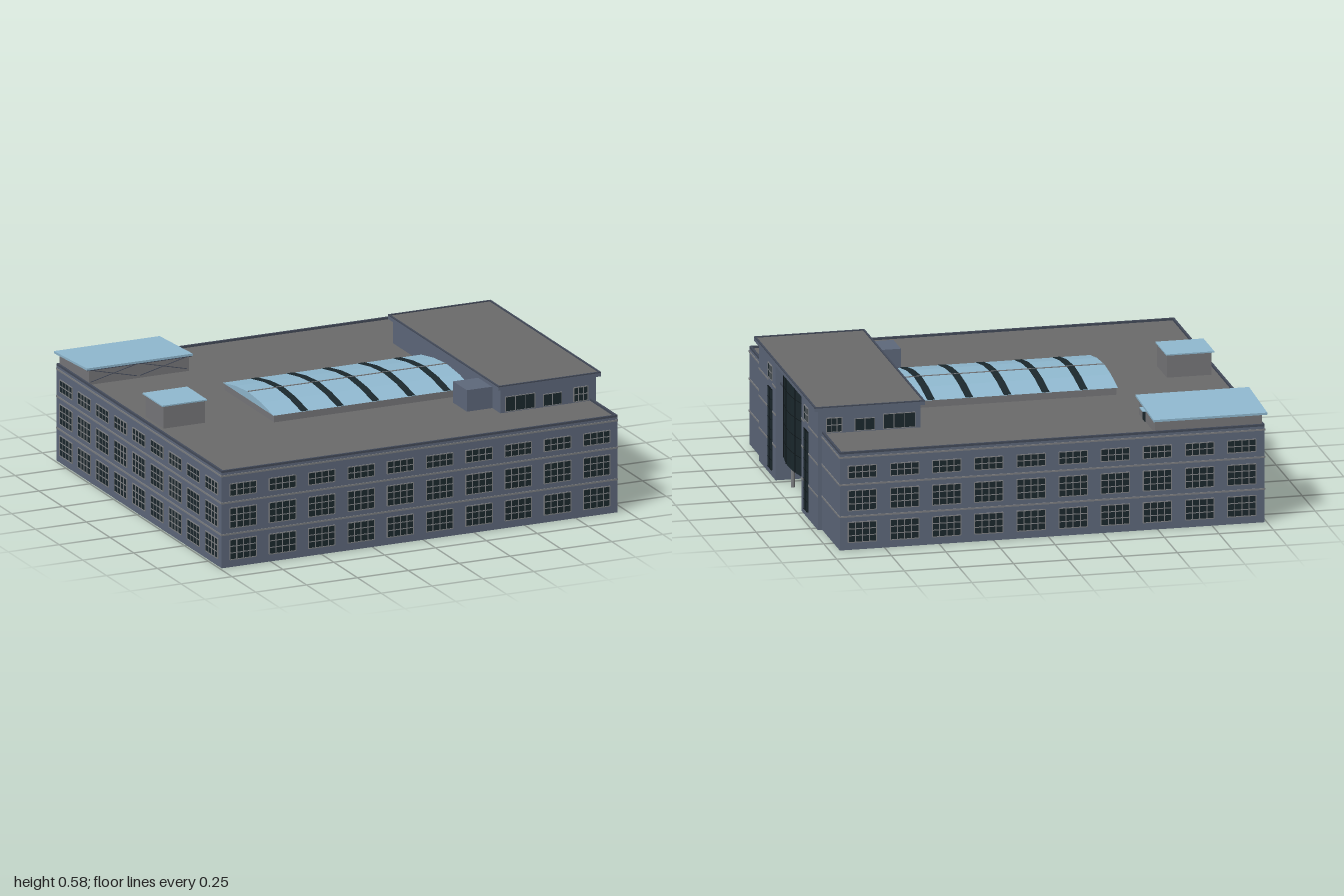
import * as THREE from 'three';
import { mergeGeometries } from 'three/addons/utils/BufferGeometryUtils.js';

const mat = (color) => new THREE.MeshStandardMaterial({ color, flatShading: true, side: THREE.DoubleSide });
const M = {
  wall: mat(0x5e687b), roof: mat(0x6b6b6b), dark: mat(0x1b282d), trim: mat(0x7d7f82),
  edge: mat(0x444b5a), sky: mat(0x90b9d0), shed: mat(0x77777a), line: mat(0x0e1518),
};

// Box from min and max corners
function box(x0, x1, y0, y1, z0, z1) {
  return new THREE.BoxGeometry(x1 - x0, y1 - y0, z1 - z0)
    .translate((x0 + x1) / 2, (y0 + y1) / 2, (z0 + z1) / 2);
}

// Plan outline given as [x, z], raised from y0 to y1
function plan(points, y0, y1, hole) {
  const v = (p) => p.map(([x, z]) => new THREE.Vector2(x, -z));
  const shape = new THREE.Shape(v(points));
  if (hole) shape.holes.push(new THREE.Path(v(hole)));
  return new THREE.ExtrudeGeometry(shape, { depth: y1 - y0, bevelEnabled: false })
    .rotateX(-Math.PI / 2).translate(0, y0, 0);
}
const rect = (x0, x1, z0, z1) => [[x0, z1], [x1, z1], [x1, z0], [x0, z0]];

// Place geometry made facing +z onto a wall: angle about y and distance from the centre
const onWall = (g, angle, dist) => g.translate(0, 0, dist).rotateY(angle);
const FRONT = 0, LEFT = Math.PI / 2, BACK = Math.PI, RIGHT = -Math.PI / 2;

export function createModel() {
  const group = new THREE.Group();
  const add = (name, geo, material) => {
    const mesh = new THREE.Mesh(Array.isArray(geo) ? mergeGeometries(geo) : geo, material);
    mesh.name = name;
    group.add(mesh);
  };

  // Bowed glass front, sampled in plan
  const arc = [];
  for (let i = 0; i <= 12; i++) {
    const t = i / 12;
    arc.push([0.935 + 0.038 * Math.sin(Math.PI * t), 0.28 - 0.495 * t]);
  }

  // Main body: ground floor with open entrance recess, upper floors, raised entrance block
  const outline = (mid) => [[-0.99, 0.87], [0.955, 0.87], [0.955, 0.6], [0.975, 0.6], [0.975, 0.28],
    ...mid, [0.975, -0.215], [0.975, -0.53], [0.955, -0.53], [0.955, -0.87], [-0.99, -0.87]];
  const capSide = [M.roof, M.wall];
  add('groundFloor', plan(outline([[0.51, 0.28], [0.51, -0.215]]), 0, 0.135), capSide);
  add('upperFloors', plan(outline(arc), 0.135, 0.445), capSide);
  add('entranceBlock', plan([[0.505, 0.6], [0.975, 0.6], [0.975, 0.28], ...arc,
    [0.975, -0.215], [0.975, -0.53], [0.505, -0.53]], 0.445, 0.555), capSide);

  // Parapet and block roof
  add('parapet', plan(rect(-0.99, 0.955, -0.87, 0.87), 0.445, 0.455,
    rect(-0.98, 0.945, -0.86, 0.86)), M.edge);
  add('blockRoof', plan(rect(0.49, 0.995, -0.555, 0.61), 0.555, 0.571), capSide);
  add('blockRoofRim', plan(rect(0.49, 0.995, -0.555, 0.61), 0.571, 0.576,
    rect(0.498, 0.987, -0.547, 0.602)), M.edge);

  // Windows: dark pane with a light grid in front
  const panes = [], bars = [];
  function grid(angle, dist, u, y0, w, h, cols, rows, t = 0.004) {
    panes.push(onWall(box(u - w / 2, u + w / 2, y0, y0 + h, -0.002, 0.002), angle, dist));
    for (let c = 0; c <= cols; c++) {
      const x = u - w / 2 + (w * c) / cols;
      bars.push(onWall(box(x - t / 2, x + t / 2, y0, y0 + h, 0, 0.004), angle, dist));
    }
    for (let r = 0; r <= rows; r++) {
      const y = y0 + (h * r) / rows;
      bars.push(onWall(box(u - w / 2, u + w / 2, y - t / 2, y + t / 2, 0, 0.004), angle, dist));
    }
  }
  const floors = [[0.035, 0.093, 3], [0.182, 0.093, 3], [0.332, 0.057, 2]];
  for (const [y, h, rows] of floors) {
    for (let i = 0; i < 10; i++) {
      const x = -0.885 + i * 0.193;
      grid(FRONT, 0.87, x, y, 0.13, h, 4, rows);
      grid(BACK, 0.87, -x, y, 0.13, h, 4, rows);
    }
    for (let i = 0; i < 9; i++) grid(RIGHT, 0.99, -0.768 + i * 0.192, y, 0.13, h, 4, rows);
  }

  // Block windows on both ends and beside the glass front, plus the entrance glazing
  for (const [angle, dist, s] of [[FRONT, 0.6, 1], [BACK, 0.53, -1]]) {
    grid(angle, dist, s * 0.602, 0.45, 0.145, 0.068, 3, 1, 0.003);
    grid(angle, dist, s * 0.76, 0.45, 0.09, 0.055, 2, 1, 0.003);
    grid(angle, dist, s * 0.9, 0.45, 0.07, 0.066, 3, 2);
  }
  for (const z of [0.38, -0.312]) grid(LEFT, 0.975, -z, 0.445, 0.072, 0.066, 3, 2);
  grid(LEFT, 0.51, -0.035, 0.035, 0.29, 0.09, 10, 3);
  add('windowPanes', panes, M.dark);
  add('windowBars', bars, M.trim);

  // Tall dark stair windows
  const tall = [], tallBars = [];
  for (const z of [0.38, -0.312]) {
    tall.push(box(0.97, 0.979, 0.03, 0.402, z - 0.037, z + 0.037));
    for (let i = 0; i <= 8; i++) {
      const y = 0.03 + i * 0.0465;
      tallBars.push(box(0.975, 0.981, y - 0.001, y + 0.001, z - 0.037, z + 0.037));
    }
    tallBars.push(box(0.975, 0.981, 0.03, 0.402, z - 0.001, z + 0.001));
  }
  add('stairWindows', tall, M.dark);
  add('stairWindowBars', tallBars, M.line);

  // Curved curtain wall with joints
  const curve = (d, y0, y1) => plan([...arc.map(([x, z]) => [x + d, z]),
    ...arc.map(([x, z]) => [x - 0.004, z]).reverse()], y0, y1);
  add('curtainWall', curve(0.004, 0.135, 0.553), M.dark);
  const joints = [0.22, 0.305, 0.39, 0.475].map((y) => curve(0.006, y - 0.001, y + 0.001));
  add('curtainJoints', joints, M.line);
  const mullions = [0.175, 0.07, -0.07, -0.145].map((z) => {
    const x = 0.935 + 0.038 * Math.sin((Math.PI * (0.28 - z)) / 0.495);
    return box(x, x + 0.007, 0.135, 0.553, z - 0.0015, z + 0.0015);
  });
  add('curtainMullions', mullions, M.line);

  // Entrance columns
  add('entranceColumns', [0.16, -0.07].map((z) =>
    new THREE.CylinderGeometry(0.009, 0.009, 0.135, 12).translate(0.925, 0.0675, z)), M.trim);

  // Horizontal trim bands
  const bands = [];
  for (const y of [0.155, 0.303, 0.43]) {
    const strip = (x0, x1, z0, z1) => bands.push(box(x0, x1, y - 0.004, y + 0.004, z0, z1));
    strip(-0.992, 0.957, 0.868, 0.873);
    strip(-0.992, 0.957, -0.873, -0.868);
    strip(-0.993, -0.988, -0.87, 0.87);
    strip(0.953, 0.958, 0.6, 0.87);
    strip(0.953, 0.958, -0.87, -0.53);
    for (const [z0, z1] of [[0.417, 0.6], [0.28, 0.343], [-0.275, -0.215], [-0.53, -0.349]])
      strip(0.973, 0.977, z0, z1);
  }
  add('trimBands', bands, M.trim);

  // Faceted barrel skylight on a curb, with dark ribs
  const section = [[0.3, 0.478], [0.17, 0.502], [0.03, 0.513], [-0.1, 0.502], [-0.235, 0.478]];
  const vault = (x0, x1, lift) => {
    const s = new THREE.Shape(section.map(([z, y]) => new THREE.Vector2(-z, y + lift)));
    return new THREE.ExtrudeGeometry(s, { depth: x1 - x0, bevelEnabled: false })
      .rotateY(Math.PI / 2).translate(x0, 0, 0);
  };
  add('skylightCurb', box(-0.465, 0.505, 0.445, 0.478, -0.23, 0.295), M.shed);
  add('skylightGlass', vault(-0.47, 0.505, 0), M.sky);
  add('skylightRibs', [-0.315, -0.14, 0.035, 0.21, 0.385].map((x) =>
    vault(x - 0.017, x + 0.017, 0.002)), M.dark);
  add('skylightRidge', box(-0.47, 0.505, 0.512, 0.516, 0.027, 0.033), M.trim);

  // Small roof boxes
  add('stairBox', box(0.38, 0.51, 0.445, 0.545, 0.37, 0.515), M.wall);
  add('plantBox', box(-0.95, -0.745, 0.445, 0.551, -0.02, 0.17), M.shed);
  add('plantBoxRoof', box(-0.96, -0.74, 0.55, 0.556, -0.03, 0.18), M.sky);

  // Corner shed with a roof falling to the back
  const slope = (x0, x1, z0, z1, bottom, thick) => {
    const g = box(x0, x1, 0, 1, z0, z1), p = g.attributes.position;
    for (let i = 0; i < p.count; i++) {
      const top = 0.53 + (p.getZ(i) + 0.53) * 0.055;
      p.setY(i, p.getY(i) > 0.5 ? top - (bottom ? 0.01 : 0) : bottom || top - thick);
    }
    g.computeVertexNormals();
    return g;
  };
  add('shedBody', slope(-0.98, -0.49, -0.86, -0.55, 0.445, 0), M.shed);
  add('shedRoof', slope(-1, -0.48, -0.88, -0.53, 0, 0.01), M.sky);
  add('shedFascia', plan(rect(-0.996, -0.484, -0.54, -0.532), 0.516, 0.521), M.edge);
  add('shedDoor', box(-0.492, -0.487, 0.445, 0.494, -0.68, -0.635), M.dark);
  add('shedDoorCanopy', box(-0.49, -0.475, 0.494, 0.499, -0.69, -0.625), M.sky);

  // Diagonal braces on the shed front
  const braces = [];
  for (const x of [-0.86, -0.615]) for (const s of [1, -1])
    braces.push(new THREE.BoxGeometry(0.235, 0.003, 0.003).rotateZ(s * 0.24).translate(x, 0.485, -0.549));
  add('shedBraces', braces, M.edge);

  return group;
}
